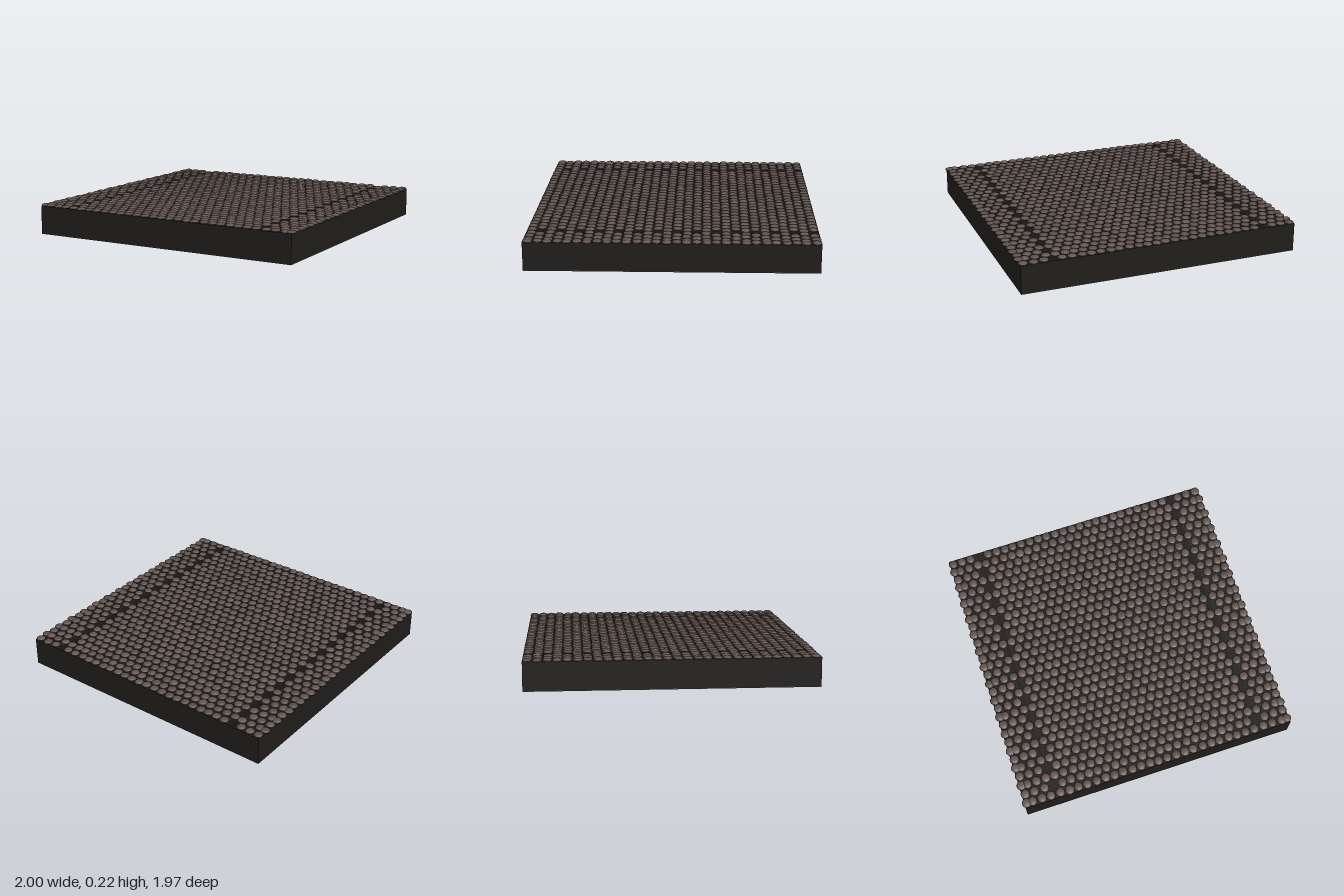
import * as THREE from 'three';
import { mergeGeometries } from 'three/addons/utils/BufferGeometryUtils.js';

const ROWS = 30, PITCH = 0.0655, STONE_R = 0.033, TOP = 0.2;

// Small seeded generator for the hand-laid look, returns -1..1
function makeJitter(seed) {
  return () => {
    seed = (seed * 1664525 + 1013904223) % 4294967296;
    return (seed / 4294967296) * 2 - 1;
  };
}

// Evenly spaced stone centres between two ends
function span(from, to, count) {
  return Array.from({ length: count }, (_, i) => from + (to - from) * i / (count - 1));
}

export function createModel() {
  const group = new THREE.Group();
  group.name = 'cobbledPavingSlab';

  function addPart(name, geometry, color, x = 0, y = 0, z = 0) {
    const mesh = new THREE.Mesh(geometry, new THREE.MeshStandardMaterial({ color }));
    mesh.name = name;
    mesh.position.set(x, y, z);
    group.add(mesh);
    return mesh;
  }

  // Ground block with a paler underside
  addPart('groundBlock', new THREE.BoxGeometry(1.965, TOP - 0.004, 1.965), 0x1f1d1a, 0, TOP / 2 + 0.002, 0);
  addPart('underside', new THREE.BoxGeometry(1.965, 0.004, 1.965), 0x555555, 0, 0.002, 0);

  // Dark gutter strips along both sides
  for (const side of [-1, 1]) {
    const name = side > 0 ? 'leftGutter' : 'rightGutter';
    addPart(name, new THREE.BoxGeometry(0.05, 0.003, 1.96), 0x171614, side * 0.75, TOP, 0);
  }

  // Flattened cobbles in staggered rows, sorted into three tints
  const tints = [0x5c504b, 0x62544f, 0x574c48];
  const piles = tints.map(() => []);
  const jitter = makeJitter(17);
  const stone = new THREE.SphereGeometry(STONE_R, 12, 6);
  stone.scale(1, 0.36, 1);

  const evenRow = [...span(-0.957, -0.82, 3), ...span(-0.69, 0.69, 22), ...span(0.82, 0.957, 3)];
  const oddRow = [-0.966, ...span(-0.925, -0.786, 3), ...span(-0.72, 0.72, 23), ...span(0.786, 0.925, 3), 0.966];

  for (let row = 0; row < ROWS; row++) {
    const z = (row - (ROWS - 1) / 2) * PITCH;
    for (const x of row % 2 ? oddRow : evenRow) {
      const g = stone.clone();
      const s = 0.98 + 0.03 * jitter();
      g.scale(s, 1, s);
      g.rotateY(jitter() * Math.PI);
      const dx = Math.abs(x) > 0.95 ? 0 : 0.004 * jitter();
      g.translate(x + dx, TOP + 0.004 + 0.001 * jitter(), z + 0.003 * jitter());
      piles[Math.floor((jitter() + 1) * 1.499)].push(g);
    }
  }
  const names = ['cobblesMedium', 'cobblesLight', 'cobblesDark'];
  piles.forEach((pile, i) => addPart(names[i], mergeGeometries(pile), tints[i]));

  return group;
}
